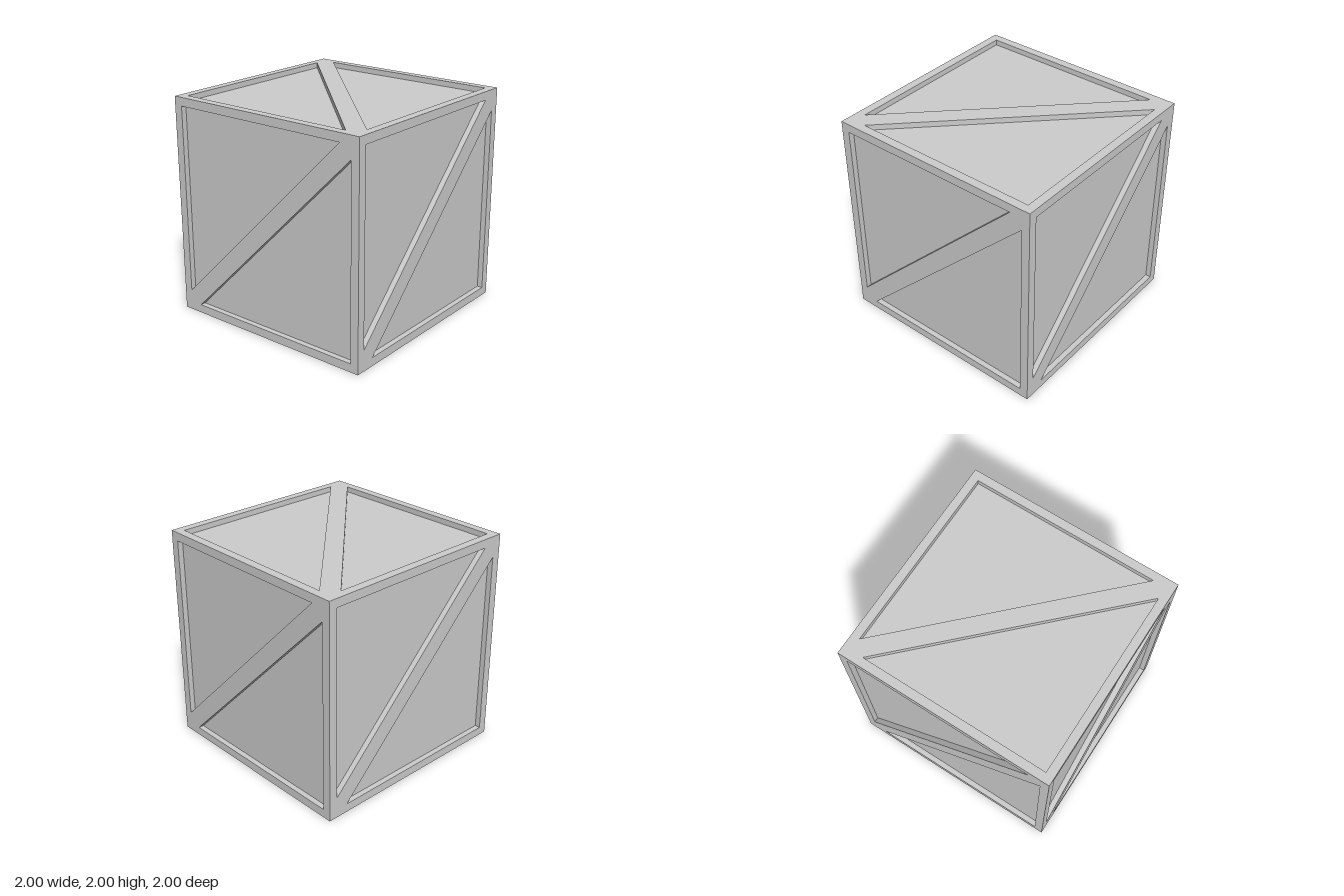
import * as THREE from 'three';

const HALF = 1;        // half the crate's width
const DEPTH = 0.05;    // how far the panels sit back
const EDGE = 0.922;    // inner side of the border
const TIP = 0.807;     // where the diagonal brace meets the border

// Square frame with a diagonal brace, facing +z, mitred at the cube's edges
function braceFrameGeometry() {
  const points = (list) => list.map(([x, y]) => new THREE.Vector2(x, y));
  const shape = new THREE.Shape(points([[-HALF, -HALF], [HALF, -HALF], [HALF, HALF], [-HALF, HALF]]));
  shape.holes.push(
    new THREE.Path(points([[-EDGE, -TIP], [-EDGE, EDGE], [TIP, EDGE]])),
    new THREE.Path(points([[EDGE, TIP], [EDGE, -EDGE], [-TIP, -EDGE]])),
  );
  const geometry = new THREE.ExtrudeGeometry(shape, { depth: DEPTH, bevelEnabled: false });
  geometry.translate(0, 0, HALF - DEPTH);

  // Draw the outer rim in at the back so neighbouring frames meet in a mitre
  const p = geometry.attributes.position;
  const limit = HALF - DEPTH;
  for (let i = 0; i < p.count; i++) {
    if (p.getZ(i) < HALF - DEPTH / 2) {
      p.setX(i, THREE.MathUtils.clamp(p.getX(i), -limit, limit));
      p.setY(i, THREE.MathUtils.clamp(p.getY(i), -limit, limit));
    }
  }
  geometry.computeVertexNormals();
  return geometry;
}

export function createModel() {
  const crate = new THREE.Group();
  crate.name = 'crate';
  const material = new THREE.MeshStandardMaterial({ color: 0xcccccc, flatShading: true });

  // Recessed panels of all six sides
  const size = 2 * (HALF - DEPTH);
  const panels = new THREE.Mesh(new THREE.BoxGeometry(size, size, size), material);
  panels.name = 'recessedPanels';
  panels.position.y = HALF;
  crate.add(panels);

  // One braced frame per side
  const frame = braceFrameGeometry();
  const q = Math.PI / 2;
  const sides = {
    front: [0, 0], left: [0, q], back: [0, 2 * q], right: [0, -q],
    top: [-q, 0], bottom: [q, 0],
  };
  for (const [side, [rx, ry]] of Object.entries(sides)) {
    const mesh = new THREE.Mesh(frame, material);
    mesh.name = `${side}Frame`;
    mesh.rotation.set(rx, ry, 0);
    mesh.position.y = HALF;
    crate.add(mesh);
  }
  return crate;
}
